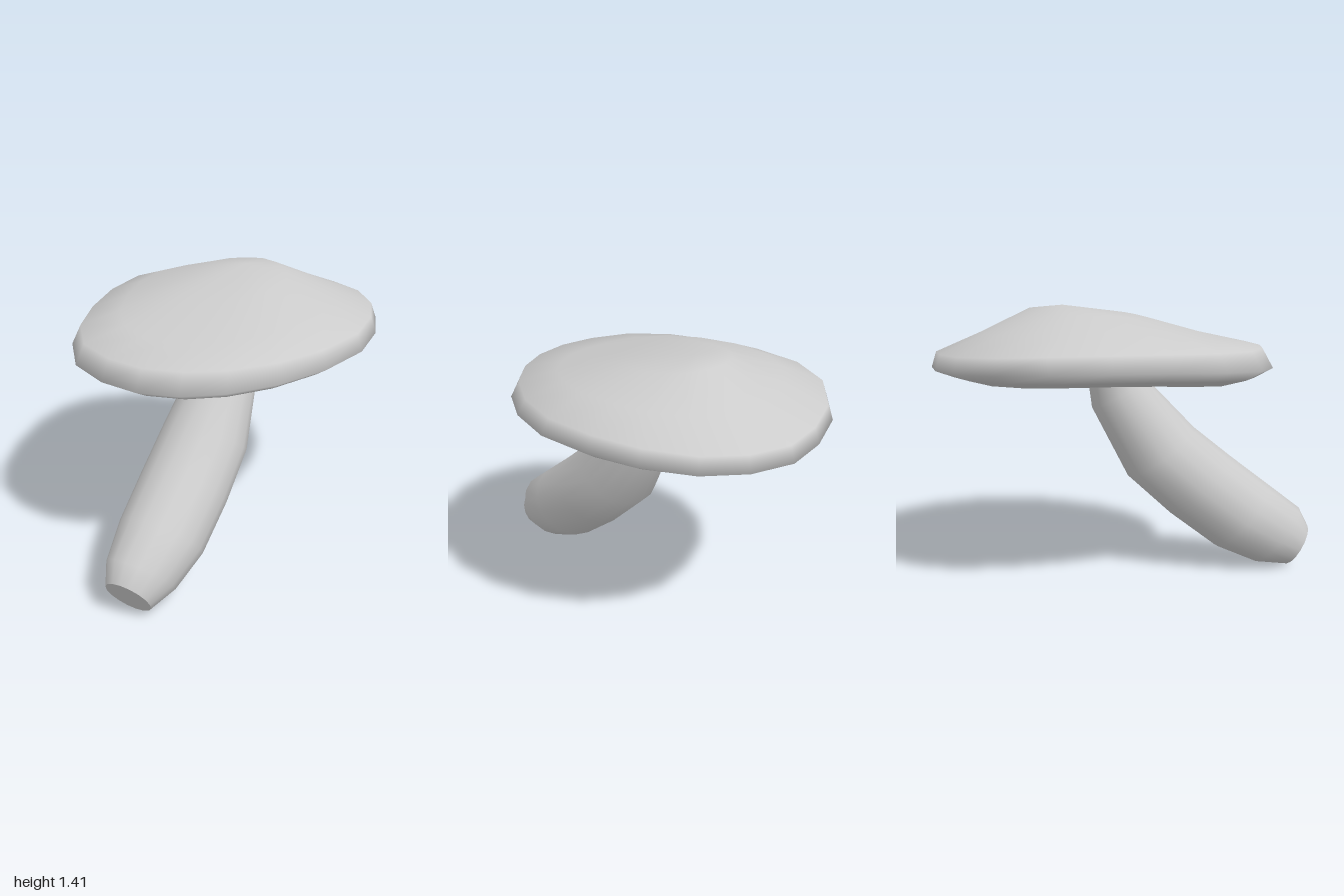
import * as THREE from 'three';
import { mergeVertices } from 'three/addons/utils/BufferGeometryUtils.js';

const material = new THREE.MeshStandardMaterial({ color: 0xcccccc });

// Skin a list of equal-length rings, given from top to bottom, with smooth normals.
function loft(rings, name) {
  const n = rings[0].length;
  const index = [];
  for (let r = 0; r < rings.length - 1; r++) {
    for (let i = 0; i < n; i++) {
      const j = (i + 1) % n;
      const a = r * n, b = a + n;
      index.push(a + i, a + j, b + j, a + i, b + j, b + i);
    }
  }
  let geometry = new THREE.BufferGeometry().setFromPoints(rings.flat());
  geometry.setIndex(index);
  geometry = mergeVertices(geometry);
  geometry.computeVertexNormals();
  const mesh = new THREE.Mesh(geometry, material);
  mesh.name = name;
  return mesh;
}

// Cap outline seen from above (x, z), starting at the back and running via +x.
const MID_Z = -0.12;
const OUTLINE = [
  [0.03, -1], [0.26, -0.95], [0.46, -0.83], [0.62, -0.62], [0.71, -0.38],
  [0.745, -0.1], [0.68, 0.18], [0.55, 0.42], [0.38, 0.6], [0.2, 0.71],
  [0, 0.76], [-0.2, 0.74], [-0.41, 0.65], [-0.57, 0.46], [-0.67, 0.21],
  [-0.74, -0.08], [-0.75, -0.37], [-0.66, -0.62], [-0.45, -0.83], [-0.2, -0.95],
];

// One scaled copy of the outline whose height varies between sides, front and back.
function capRing([scale, zCentre, side, front, back]) {
  return OUTLINE.map(([x, z]) => {
    const d = (z - MID_Z) / 0.88;
    const y = side + ((d > 0 ? front : back) - side) * d * d;
    return new THREE.Vector3(x * scale, y, zCentre + (z - MID_Z) * scale);
  });
}

function createCap() {
  const cap = new THREE.Group();
  cap.name = 'cap';
  // scale, z centre, height at sides, front, back
  const skin = [
    [0, -0.32, 1.41, 1.41, 1.41],
    [0.35, -0.18, 1.37, 1.34, 1.395],
    [0.7, -0.13, 1.295, 1.24, 1.27],
    [0.955, -0.135, 1.22, 1.2, 1.17],
    [1, MID_Z, 1.14, 1.1, 1.09],
    [0.9, MID_Z, 1.09, 1.05, 1.06],
    [0.76, MID_Z, 1.06, 1.015, 1.025],
    [0.65, MID_Z, 1.065, 1.03, 1.035],
  ];
  cap.add(loft(skin.map(capRing), 'capSkin'));
  // Flat underside inside the rolled lip
  const floor = [skin.at(-1), [0, MID_Z, 1.07, 1.07, 1.07]];
  cap.add(loft(floor.map(capRing), 'capUnderside'));
  return cap;
}

function createStem() {
  const stem = new THREE.Group();
  stem.name = 'stem';
  // front edge z, y; back edge z, y; half width; x centre
  const sections = [
    [0.06, 1.13, -0.2, 1.1, 0.13, 0.04],
    [0.11, 1.03, -0.17, 0.87, 0.165, 0.04],
    [0.37, 0.76, 0.02, 0.5, 0.225, 0.035],
    [0.57, 0.6, 0.25, 0.29, 0.23, 0.035],
    [0.78, 0.44, 0.49, 0.11, 0.222, 0.035],
    [0.95, 0.31, 0.7, 0.02, 0.18, 0.035],
    [1, 0.21, 0.88, 0, 0.123, 0.035],
  ];
  const sides = 16;
  const rings = sections.map(([fz, fy, bz, by, rx, cx]) =>
    Array.from({ length: sides }, (_, i) => {
      const t = (i / sides) * Math.PI * 2;
      const k = (1 - Math.cos(t)) / 2;
      return new THREE.Vector3(cx + rx * Math.sin(t), by + (fy - by) * k, bz + (fz - bz) * k);
    }));
  stem.add(loft(rings, 'stemSkin'));
  // Flat cut end at the foot
  const end = rings.at(-1);
  const centre = end[0].clone().lerp(end[sides / 2], 0.5);
  stem.add(loft([end, end.map(() => centre)], 'stemCutEnd'));
  return stem;
}

export function createModel() {
  const mushroom = new THREE.Group();
  mushroom.name = 'mushroom';
  mushroom.add(createCap(), createStem());
  return mushroom;
}
